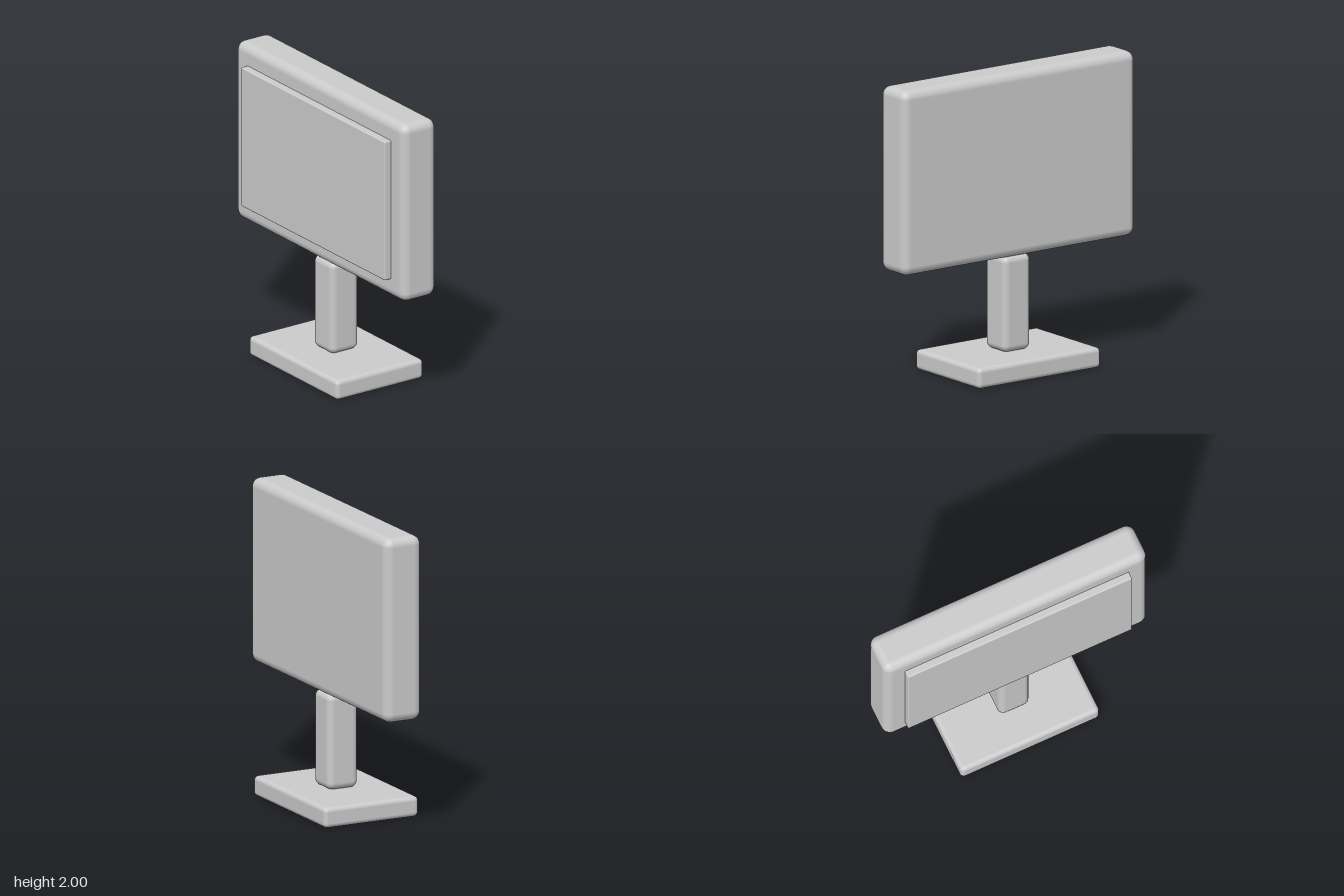
import * as THREE from 'three';
import { RoundedBoxGeometry } from 'three/addons/geometries/RoundedBoxGeometry.js';

const grey = new THREE.MeshStandardMaterial({ color: 0xcccccc });

// Soft-edged box spanning y0..y1, centred on x = 0
function roundedPart(name, width, depth, y0, y1, z, radius) {
  const geometry = new RoundedBoxGeometry(width, y1 - y0, depth, 3, radius);
  const mesh = new THREE.Mesh(geometry, grey);
  mesh.name = name;
  mesh.position.set(0, (y0 + y1) / 2, z);
  return mesh;
}

export function createModel() {
  const model = new THREE.Group();
  model.name = 'monitor';
  model.add(
    // Foot plate and upright
    roundedPart('base', 0.99, 0.69, 0, 0.135, 0, 0.03),
    roundedPart('stand', 0.22, 0.22, 0.135, 0.775, 0, 0.045),
    // Display body with the panel standing proud of its front
    roundedPart('housing', 1.88, 0.27, 0.77, 2, 0, 0.06),
    roundedPart('screen', 1.6, 0.06, 0.9, 1.865, 0.155, 0.01),
  );
  return model;
}
